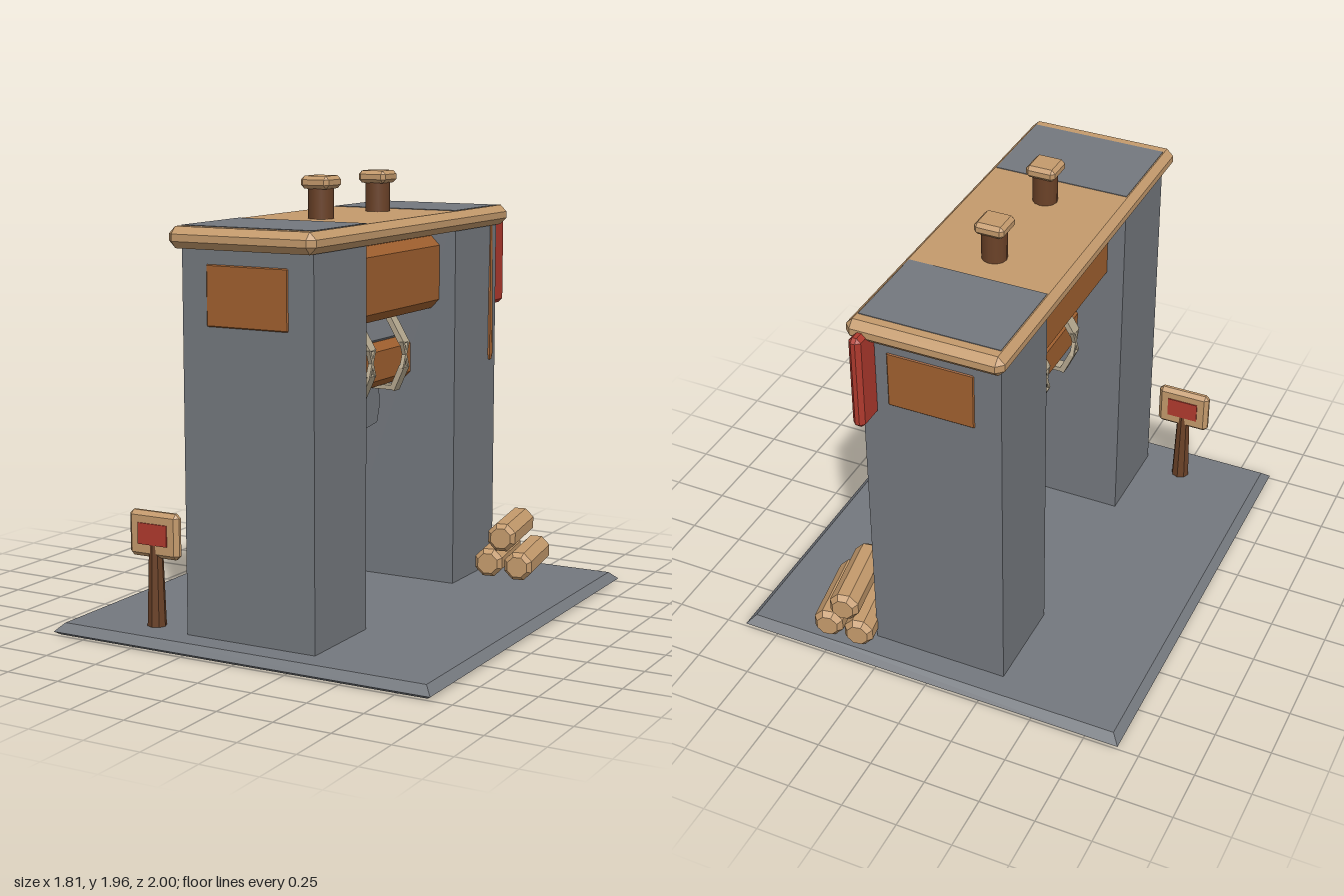
import * as THREE from 'three';
import { ConvexGeometry } from 'three/addons/geometries/ConvexGeometry.js';

const mat = (name, color) => Object.assign(new THREE.MeshStandardMaterial({ color }), { name });

// Box with chamfered edges
function chamferBox(w, h, d, c) {
  const pts = [];
  for (const x of [-1, 1]) for (const y of [-1, 1]) for (const z of [-1, 1]) {
    const [a, b, e] = [w / 2, h / 2, d / 2];
    pts.push(
      new THREE.Vector3(x * a, y * (b - c), z * (e - c)),
      new THREE.Vector3(x * (a - c), y * b, z * (e - c)),
      new THREE.Vector3(x * (a - c), y * (b - c), z * e));
  }
  return new ConvexGeometry(pts);
}

// Faceted lathe
function turned(profile, sides, start = 0) {
  const g = new THREE.LatheGeometry(profile.map(p => new THREE.Vector2(...p)), sides, start).toNonIndexed();
  g.computeVertexNormals();
  return g;
}

export function createModel() {
  const model = new THREE.Group();
  const stone = mat('stone', 0x74787e);
  const paleWood = mat('paleWood', 0xc49a6c);
  const wood = mat('wood', 0xa0602f);
  const darkWood = mat('darkWood', 0x6b4228);
  const red = mat('redPaint', 0xb03a2e);
  const rope = mat('rope', 0xb5a88f);

  const add = (name, geo, material, x = 0, y = 0, z = 0) => {
    const m = new THREE.Mesh(geo, material);
    m.name = name;
    m.position.set(x, y, z);
    model.add(m);
    return m;
  };
  // Flat bar between two points
  const bar = (name, a, b, thick, width, material) => {
    const p = new THREE.Vector3(...a), q = new THREE.Vector3(...b);
    const m = add(name, new THREE.BoxGeometry(thick, p.distanceTo(q), width), material);
    m.position.copy(p).add(q).multiplyScalar(0.5);
    m.quaternion.setFromUnitVectors(new THREE.Vector3(0, 1, 0), q.sub(p).normalize());
  };

  // Hollow base plate with a sloping rim
  const R = Math.SQRT2;
  const plate = turned([[0, 0.04], [0.87 * R, 0.04], [0.885 * R, 0], [0.905 * R, 0.015],
    [0.87 * R, 0.05], [0, 0.05]], 4, Math.PI / 4);
  plate.scale(1, 1, 1 / 0.905);
  plate.computeVertexNormals();
  add('basePlate', plate, stone);

  // Gate: pillars, top slab and the beam running through
  for (const s of [-1, 1])
    add('pillar', new THREE.BoxGeometry(0.62, 1.778, 0.435), stone, 0, 0.889, s * 0.638);
  add('topSlab', chamferBox(0.69, 0.09, 1.85, 0.03), paleWood, 0, 1.73, 0);
  add('crossBeam', chamferBox(0.46, 0.33, 1.72, 0.042), wood, 0, 1.495, 0);

  // Posts through the slab with caps
  for (const s of [-1, 1]) {
    add('post', new THREE.CylinderGeometry(0.055, 0.055, 0.8, 12), darkWood, 0, 1.51, s * 0.255);
    add('postCap', chamferBox(0.135, 0.055, 0.135, 0.016), paleWood, 0, 1.93, s * 0.255);
  }

  // Hanging beam and the stone head it carries
  add('hangingBeam', chamferBox(0.26, 0.2, 0.74, 0.035), wood, 0, 1.11, 0);
  const collar = [];
  for (const [y, x, z] of [[1.34, 0.06, 0.225], [1.22, 0.1, 0.285], [1.18, 0.07, 0.25]])
    for (const i of [-1, 1]) for (const k of [-1, 1]) collar.push(new THREE.Vector3(i * x, y, k * z));
  add('headCollar', new ConvexGeometry(collar), stone);
  const outline = [[-0.2, 1.05], [-0.215, 0.9], [-0.19, 0.825], [0, 0.8], [0.19, 0.825], [0.215, 0.9], [0.2, 1.05]];
  const blade = new THREE.ExtrudeGeometry(
    new THREE.Shape(outline.map(p => new THREE.Vector2(...p))), { depth: 0.07, bevelEnabled: false });
  blade.translate(0, 0, -0.035).rotateY(Math.PI / 2);
  add('headBlade', blade, stone);

  // Straps with crossed lashings on both sides of the hanging beam
  for (const z of [-0.157, 0.157]) {
    for (const s of [-1, 1]) {
      bar('upperStrap', [s * 0.1, 1.35, z], [s * 0.19, 1.2, z], 0.025, 0.055, rope);
      bar('lowerStrap', [s * 0.19, 1.1, z], [s * 0.14, 0.99, z], 0.025, 0.055, rope);
      for (const k of [-1, 1])
        bar('lashing', [s * 0.19, 1.21, z + k * 0.025], [s * 0.19, 1.09, z - k * 0.025], 0.018, 0.014, rope);
    }
    bar('underStrap', [-0.145, 1.0, z], [0.145, 1.0, z], 0.02, 0.055, rope);
  }

  // Red banner and hanging rod at the rear pillar
  add('banner', chamferBox(0.055, 0.43, 0.14, 0.018), red, 0.27, 1.522, -0.912);
  const rod = turned([[0, 0], [0.016, 0.005], [0.022, 0.03], [0.02, 0.3], [0.011, 0.64], [0, 0.64]], 8);
  rod.scale(0.6, 1, 1);
  add('hangingRod', rod, wood, 0.308, 1.05, -0.8);

  // Signpost
  const stake = turned([[0, 0], [0.042, 0], [0.03, 0.36], [0.024, 0.445], [0, 0.475]], 8);
  add('signStake', stake, darkWood, -0.503, 0.045, 0.8);
  add('signBoard', chamferBox(0.25, 0.2, 0.05, 0.018), paleWood, -0.503, 0.45, 0.8);
  for (const s of [-1, 1])
    add('signPaint', new THREE.BoxGeometry(0.147, 0.093, 0.008), red, -0.503, 0.453, 0.8 + s * 0.026);

  // Stacked logs
  for (const [x, y] of [[0.385, 0.125], [0.535, 0.125], [0.45, 0.252]]) {
    const log = turned([[0, -0.2], [0.05, -0.2], [0.07, -0.175], [0.07, 0.175], [0.05, 0.2], [0, 0.2]], 8, Math.PI / 8);
    log.rotateX(Math.PI / 2);
    add('log', log, paleWood, x, y, -0.765).rotation.y = 0.17;
  }
  return model;
}
